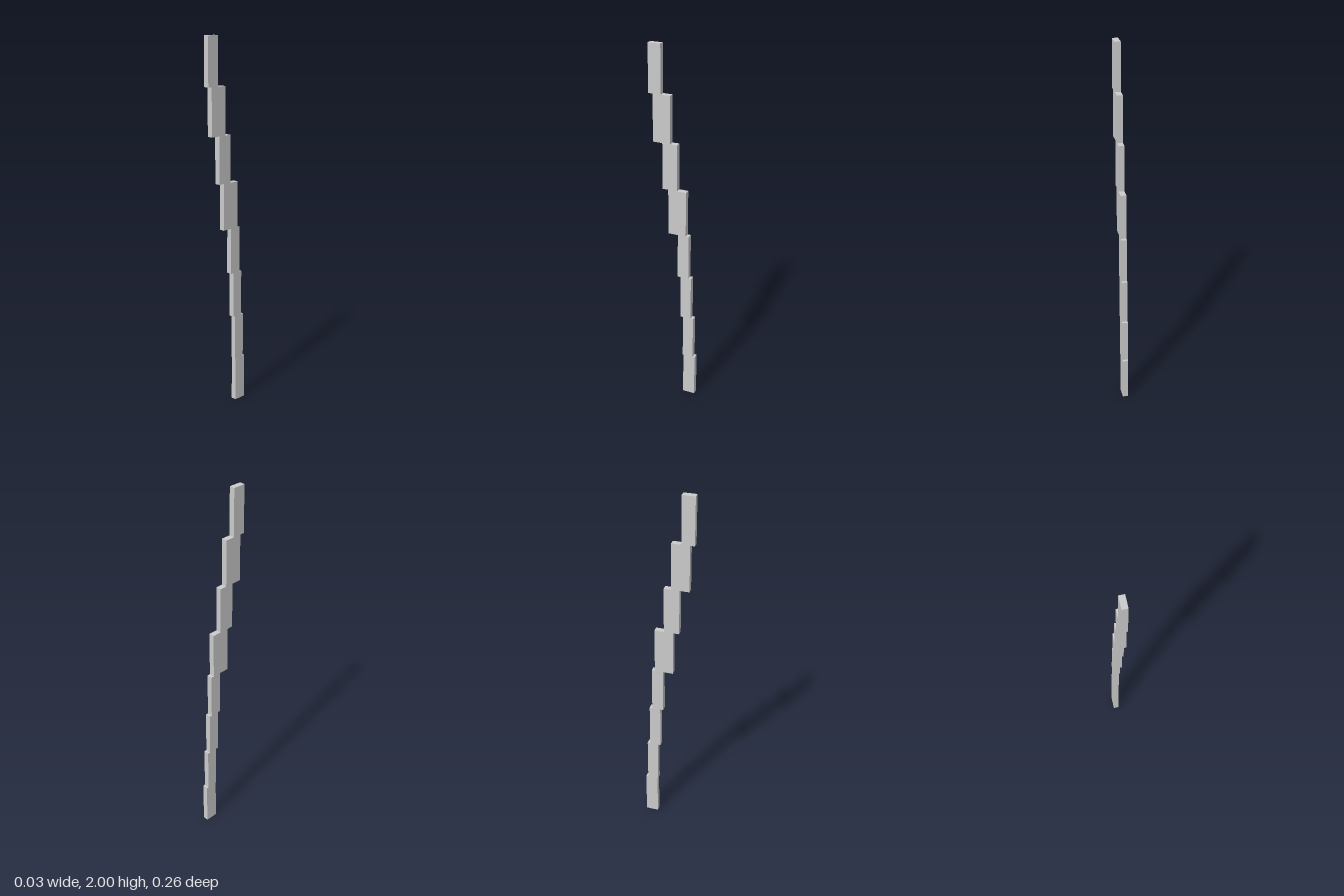
import * as THREE from 'three';

// Back and front z of each stacked segment, from bottom to top
const SPANS = [
  [-0.132, -0.064], [-0.12, -0.06], [-0.105, -0.045], [-0.09, -0.028],
  [-0.073, 0.026], [-0.023, 0.058], [0.015, 0.109], [0.065, 0.132],
];
const WIDTH = 0.03;
const HEIGHT = 2 / SPANS.length;

export function createModel() {
  const model = new THREE.Group();
  model.name = 'steppedBlade';
  const material = new THREE.MeshStandardMaterial({ color: 0xcccccc, flatShading: true });

  // Equal-height slabs, each stepping further forward than the one below
  SPANS.forEach(([back, front], i) => {
    const slab = new THREE.Mesh(new THREE.BoxGeometry(WIDTH, HEIGHT, front - back), material);
    slab.name = `segment${i + 1}`;
    slab.position.set(0, (i + 0.5) * HEIGHT, (back + front) / 2);
    model.add(slab);
  });
  return model;
}
